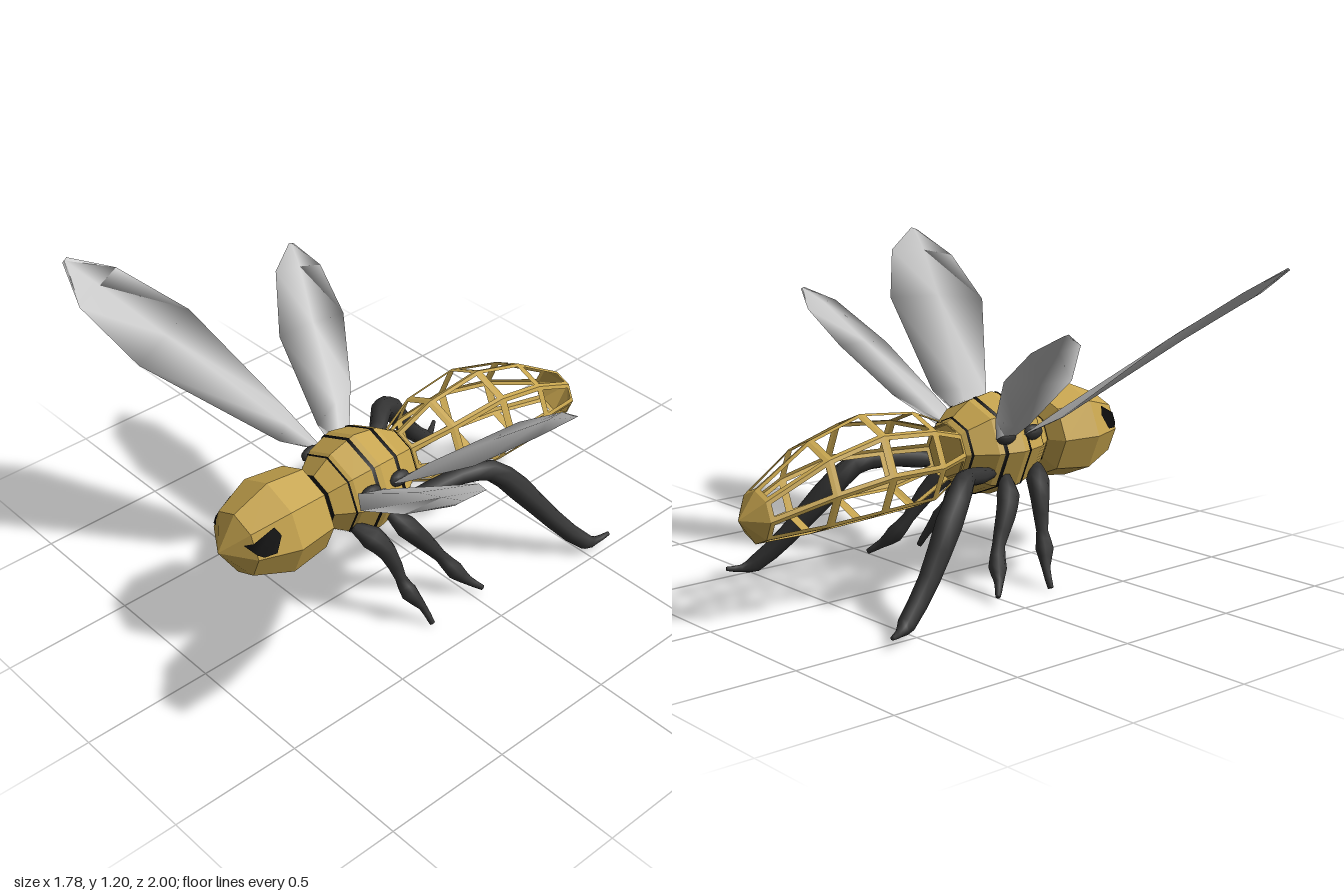
import * as THREE from 'three';

const gold = new THREE.MeshStandardMaterial({ name: 'gold', color: 0xc6a44e, flatShading: true, side: THREE.DoubleSide });
const black = new THREE.MeshStandardMaterial({ name: 'black', color: 0x0a0a0a, side: THREE.DoubleSide });
const charcoal = new THREE.MeshStandardMaterial({ name: 'charcoal', color: 0x343434 });
const silver = new THREE.MeshStandardMaterial({ name: 'silver', color: 0xc4c4c4, side: THREE.DoubleSide });

const V = (x, y, z) => new THREE.Vector3(x, y, z);
const SIDES = 8;
const MID_Z = -0.02; // centre line of the body

function makeGeometry(points, index) {
  const g = new THREE.BufferGeometry().setFromPoints(points);
  g.setIndex(index);
  g.computeVertexNormals();
  return g;
}

// Skin over a list of rings that all have the same number of points
function loft(rings) {
  const n = rings[0].length, index = [];
  for (let i = 0; i < rings.length - 1; i++) {
    for (let j = 0; j < n; j++) {
      const k = (j + 1) % n;
      const a = i * n + j, b = a + n, c = (i + 1) * n + k, d = i * n + k;
      index.push(a, b, c, a, c, d);
    }
  }
  return makeGeometry(rings.flat(), index);
}

// Octagonal ring across the body, with a corner at the top
function bodyRing([x, cy, r]) {
  return Array.from({ length: SIDES }, (_, j) => {
    const a = (j / SIDES) * Math.PI * 2;
    return V(x, cy + r * Math.sin(a), MID_Z + r * Math.cos(a));
  });
}

// Radius of a body profile at position x
function radiusAt(profile, x) {
  for (let i = 0; i < profile.length - 1; i++) {
    const [x0, , r0] = profile[i], [x1, , r1] = profile[i + 1];
    if (x <= x1) return r0 + ((x - x0) / (x1 - x0)) * (r1 - r0);
  }
  return 0;
}

// Profiles: x, centre height, radius
const HEAD = [[-0.89, 0.493, 0], [-0.81, 0.493, 0.128], [-0.66, 0.493, 0.186], [-0.5, 0.493, 0.166], [-0.465, 0.493, 0.1], [-0.46, 0.493, 0]];
const THORAX = [[-0.475, 0.493, 0.09], [-0.45, 0.493, 0.113], [-0.37, 0.493, 0.168], [-0.26, 0.493, 0.199],
  [-0.15, 0.493, 0.178], [-0.06, 0.493, 0.118], [-0.04, 0.493, 0.1], [-0.035, 0.493, 0]];
const ABDOMEN = [[-0.05, 0.49, 0.105], [0.12, 0.483, 0.18], [0.365, 0.49, 0.197], [0.59, 0.453, 0.168], [0.82, 0.385, 0.095]];
const TAIL = [[0.82, 0.385, 0.095], [0.89, 0.385, 0]];

// Open cage: every panel of the octagonal shell becomes a flat frame
function cage(profile, bar) {
  const rings = profile.map(bodyRing), points = [], index = [];
  for (let i = 0; i < rings.length - 1; i++) {
    for (let j = 0; j < SIDES; j++) {
      const k = (j + 1) % SIDES;
      const [a, b, c, d] = [rings[i][j], rings[i + 1][j], rings[i + 1][k], rings[i][k]];
      const at = (u, v) => a.clone().lerp(b, u).lerp(d.clone().lerp(c, u), v);
      const u = bar / a.distanceTo(b);
      const v0 = bar * 0.85 / a.distanceTo(d), v1 = bar * 0.85 / b.distanceTo(c);
      const s = points.length;
      points.push(a, b, c, d, at(u, v0), at(1 - u, v1), at(1 - u, 1 - v1), at(u, 1 - v0));
      for (let e = 0; e < 4; e++) {
        const f = (e + 1) % 4;
        index.push(s + e, s + f, s + 4 + f, s + e, s + 4 + f, s + 4 + e);
      }
    }
  }
  return makeGeometry(points, index);
}

// Eye plate lying on the upper side facet of the head
function eye(side) {
  const outline = [[-0.81, 0.513], [-0.832, 0.54], [-0.81, 0.553], [-0.73, 0.592], [-0.714, 0.56], [-0.745, 0.504], [-0.79, 0.5]];
  const points = outline.map(([x, y]) => {
    const z = radiusAt(HEAD, x) - 0.414 * (y - 0.493) + 0.004;
    return V(x - 0.002, y + 0.002, MID_Z + side * z);
  });
  const index = [];
  for (let i = 1; i < points.length - 1; i++) index.push(0, ...(side > 0 ? [i + 1, i] : [i, i + 1]));
  return makeGeometry(points, index);
}

// Leaf-shaped wing, slightly thicker along the middle; sections are [leading, trailing]
function wing(sections, side, splay) {
  const rings = sections.map(([lead, trail], i) => {
    const p = V(...lead), q = V(...trail);
    const thick = i === 0 || i === sections.length - 1 ? 0 : 0.012;
    const m = p.clone().lerp(q, 0.5);
    const ring = [p, m.clone().add(V(0, thick, -thick)), q, m.clone().add(V(0, -thick, thick))];
    if (side < 0) {
      ring.forEach((w) => w.set(w.x + splay * (w.z - 0.15), w.y, 2 * MID_Z - w.z));
      ring.forEach((w) => { w.z += 0.04 * Math.max(0, -w.z - 0.19) / 0.85; });
      ring.reverse();
    }
    return ring;
  });
  return loft(rings);
}

// Leg of varying thickness along a smooth path; points are x, y, z, radius
function leg(path) {
  const curve = new THREE.CatmullRomCurve3(path.map(([x, y, z]) => V(x, y, z)));
  const steps = (path.length - 1) * 2, rings = [];
  for (let i = 0; i <= steps; i++) {
    const t = i / steps, f = t * (path.length - 1), k = Math.min(Math.floor(f), path.length - 2);
    const r = THREE.MathUtils.lerp(path[k][3], path[k + 1][3], f - k);
    const p = curve.getPoint(t), dir = curve.getTangent(Math.min(Math.max(t, 0.001), 0.999));
    const u = dir.clone().cross(V(0, 0, 1)).normalize();
    const v = u.clone().cross(dir);
    rings.push(Array.from({ length: 8 }, (_, j) => {
      const a = (j / 8) * Math.PI * 2;
      return p.clone().addScaledVector(u, r * Math.cos(a)).addScaledVector(v, r * Math.sin(a));
    }));
  }
  const close = (ring) => {
    const c = ring.reduce((s, q) => s.add(q), V(0, 0, 0)).divideScalar(ring.length);
    return ring.map(() => c.clone());
  };
  return loft([close(rings[0]), ...rings, close(rings[steps])]);
}

const LARGE_WING = [
  [[-0.29, 0.55, 0.15], [-0.27, 0.55, 0.15]],
  [[-0.43, 0.635, 0.195], [-0.275, 0.64, 0.34]],
  [[-0.74, 0.94, 0.57], [-0.385, 0.96, 0.74]],
  [[-0.79, 1.1, 0.825], [-0.55, 1.13, 0.935]],
  [[-0.735, 1.2, 0.99], [-0.71, 1.21, 1.0]],
];
const SMALL_WING = [
  [[-0.23, 0.55, 0.15], [-0.14, 0.55, 0.145]],
  [[-0.24, 0.6, 0.22], [-0.03, 0.66, 0.28]],
  [[-0.195, 0.82, 0.53], [0.08, 0.84, 0.47]],
  [[-0.08, 0.98, 0.71], [0.1, 0.965, 0.65]],
  [[0.03, 1.035, 0.77], [0.05, 1.03, 0.765]],
];

const FRONT_LEG = [[-0.38, 0.41, 0.11, 0.02], [-0.34, 0.37, 0.16, 0.045], [-0.305, 0.31, 0.21, 0.035],
  [-0.28, 0.2, 0.25, 0.022], [-0.265, 0.14, 0.28, 0.034], [-0.235, 0.08, 0.32, 0.016], [-0.222, 0.015, 0.36, 0.011]];
const MIDDLE_LEG = [[-0.215, 0.4, 0.11, 0.02], [-0.18, 0.34, 0.17, 0.043], [-0.13, 0.27, 0.21, 0.036],
  [-0.07, 0.18, 0.24, 0.024], [-0.03, 0.11, 0.28, 0.034], [0.0, 0.07, 0.32, 0.018], [0.04, 0.035, 0.36, 0.01]];
const HIND_LEFT = [[-0.15, 0.415, 0.12, 0.02], [-0.05, 0.43, 0.155, 0.034], [0.08, 0.448, 0.185, 0.034], [0.2, 0.435, 0.225, 0.042],
  [0.3, 0.33, 0.28, 0.048], [0.41, 0.17, 0.37, 0.038], [0.51, 0.055, 0.45, 0.032], [0.56, 0.043, 0.465, 0.015], [0.62, 0.05, 0.475, 0.008]];
const HIND_RIGHT = [[-0.15, 0.415, -0.15, 0.02], [-0.04, 0.43, -0.2, 0.034], [0.06, 0.448, -0.25, 0.034], [0.16, 0.445, -0.34, 0.042],
  [0.28, 0.35, -0.41, 0.048], [0.4, 0.18, -0.445, 0.038], [0.53, 0.055, -0.48, 0.032], [0.58, 0.043, -0.505, 0.015], [0.64, 0.05, -0.545, 0.008]];

export function createModel() {
  const model = new THREE.Group();
  model.name = 'wingedInsect';
  const add = (name, geometry, material) => {
    const mesh = new THREE.Mesh(geometry, material);
    mesh.name = name;
    model.add(mesh);
    return mesh;
  };

  // Body
  add('head', loft(HEAD.map(bodyRing)), gold);
  add('thorax', loft(THORAX.map(bodyRing)), gold);
  add('abdomenCage', cage(ABDOMEN, 0.018), gold);
  add('tailTip', loft(TAIL.map(bodyRing)), gold);

  // Thin dark bands around the thorax
  for (const [x, w] of [[-0.46, 0.012], [-0.387, 0.006], [-0.29, 0.013], [-0.178, 0.016], [-0.064, 0.008]]) {
    const rings = [x - w / 2, x + w / 2].map((e) => bodyRing([e, 0.493, radiusAt(THORAX, e) + 0.004]));
    add('thoraxBand', loft(rings), black);
  }

  for (const side of [1, -1]) {
    const label = side > 0 ? 'Left' : 'Right';
    add('eye' + label, eye(side), black);

    // Wings and their sockets
    add('largeWing' + label, wing(LARGE_WING, side, -0.065), silver);
    add('smallWing' + label, wing(SMALL_WING, side, 0.085), silver);
    for (const x of [-0.325, -0.19]) {
      const socket = add('wingSocket' + label, new THREE.SphereGeometry(1, 12, 8), charcoal);
      socket.scale.set(0.046, 0.03, 0.024);
      socket.position.set(x, 0.553, MID_Z + side * 0.165);
    }

    // Legs
    const mirror = (path) => path.map(([x, y, z, r]) => [x, y, side > 0 ? z : 2 * MID_Z - z, r]);
    add('frontLeg' + label, leg(mirror(FRONT_LEG)), charcoal);
    add('middleLeg' + label, leg(mirror(MIDDLE_LEG)), charcoal);
    add('hindLeg' + label, leg(side > 0 ? HIND_LEFT : HIND_RIGHT), charcoal);
  }
  return model;
}
